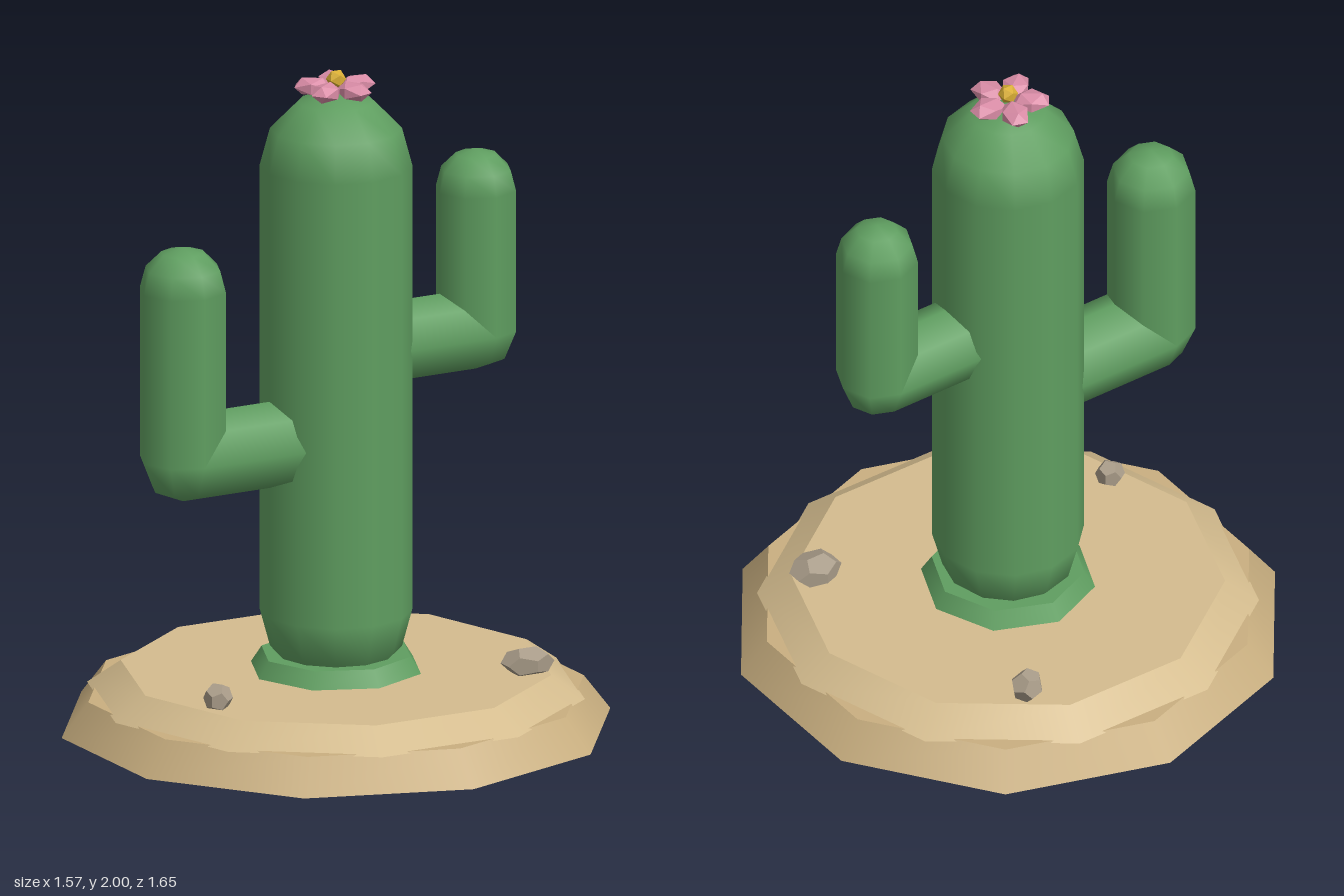
import * as THREE from 'three';

const paint = (color, flatShading = false) => new THREE.MeshStandardMaterial({ color, flatShading });

export function createModel() {
  const model = new THREE.Group();
  const green = paint(0x5f9e60);
  const rock = paint(0xa89b88, true);
  const pink = paint(0xd98ca6, true);

  const add = (name, geometry, material, x = 0, y = 0, z = 0, parent = model) => {
    const mesh = new THREE.Mesh(geometry, material);
    mesh.name = name;
    mesh.position.set(x, y, z);
    parent.add(mesh);
    return mesh;
  };

  // Sandy ground: a ten-sided slab with a slightly turned mound on it
  add('sandBase', new THREE.CylinderGeometry(0.745, 0.825, 0.105, 10), paint(0xc9af80), 0, 0.0525, 0);
  const mound = add('sandMound', new THREE.CylinderGeometry(0.64, 0.74, 0.07, 10), paint(0xd4bc8e), 0, 0.135, 0);
  mound.rotation.y = 0.3;

  // Trunk: flared foot and a column with a domed top
  add('trunkFoot', new THREE.CylinderGeometry(0.228, 0.26, 0.05, 8), green, 0, 0.195, 0);
  add('trunk', new THREE.CapsuleGeometry(0.225, 1.36, 3, 12), green, 0, 1.03, 0);

  // Arms: horizontal stub, rounded elbow, upright with a domed end
  const addArm = (name, x, y, top, r) => {
    const arm = new THREE.Group();
    arm.name = name;
    model.add(arm);
    const inner = Math.sign(x) * 0.1;
    const stub = add('armStub', new THREE.CylinderGeometry(r, r, Math.abs(x - inner), 8),
      green, (x + inner) / 2, y, 0, arm);
    stub.rotation.z = Math.PI / 2;
    add('armElbow', new THREE.SphereGeometry(r, 8, 4), green, x, y, 0, arm);
    const length = top - r - y;
    add('armUpright', new THREE.CylinderGeometry(r, r, length, 8, 1, true), green, x, y + length / 2, 0, arm);
    add('armTip', new THREE.SphereGeometry(r, 8, 3, 0, Math.PI * 2, 0, Math.PI / 2), green, x, top - r, 0, arm);
  };
  addArm('rightArm', -0.518, 0.883, 1.53, 0.132);
  addArm('leftArm', 0.474, 1.143, 1.695, 0.123);

  // Flower: five flattened petals around a yellow heart
  const flower = new THREE.Group();
  flower.name = 'flower';
  flower.position.y = 1.948;
  model.add(flower);
  for (let i = 0; i < 5; i++) {
    const a = (i * Math.PI * 2) / 5;
    const petal = add('petal', new THREE.IcosahedronGeometry(1, 0), pink,
      Math.cos(a) * 0.07, 0, Math.sin(a) * 0.07, flower);
    petal.scale.set(0.06, 0.03, 0.045);
    petal.rotation.y = -a;
  }
  add('flowerHeart', new THREE.IcosahedronGeometry(0.03, 0), paint(0xd9ae35, true), 0, 0.025, 0, flower);

  // Pebbles: position, half sizes, turn
  const pebbles = [
    [0.462, 0.205, 0.33, 0.083, 0.046, 0.068, 0],
    [0.285, 0.21, -0.497, 0.054, 0.05, 0.05, 0.5],
    [-0.515, 0.2, 0.205, 0.048, 0.043, 0.044, 1.1],
  ];
  for (const [x, y, z, sx, sy, sz, turn] of pebbles) {
    const pebble = add('pebble', new THREE.DodecahedronGeometry(1, 0), rock, x, y, z);
    pebble.scale.set(sx, sy, sz);
    pebble.rotation.set(turn * 0.6, turn, 0);
  }

  return model;
}
